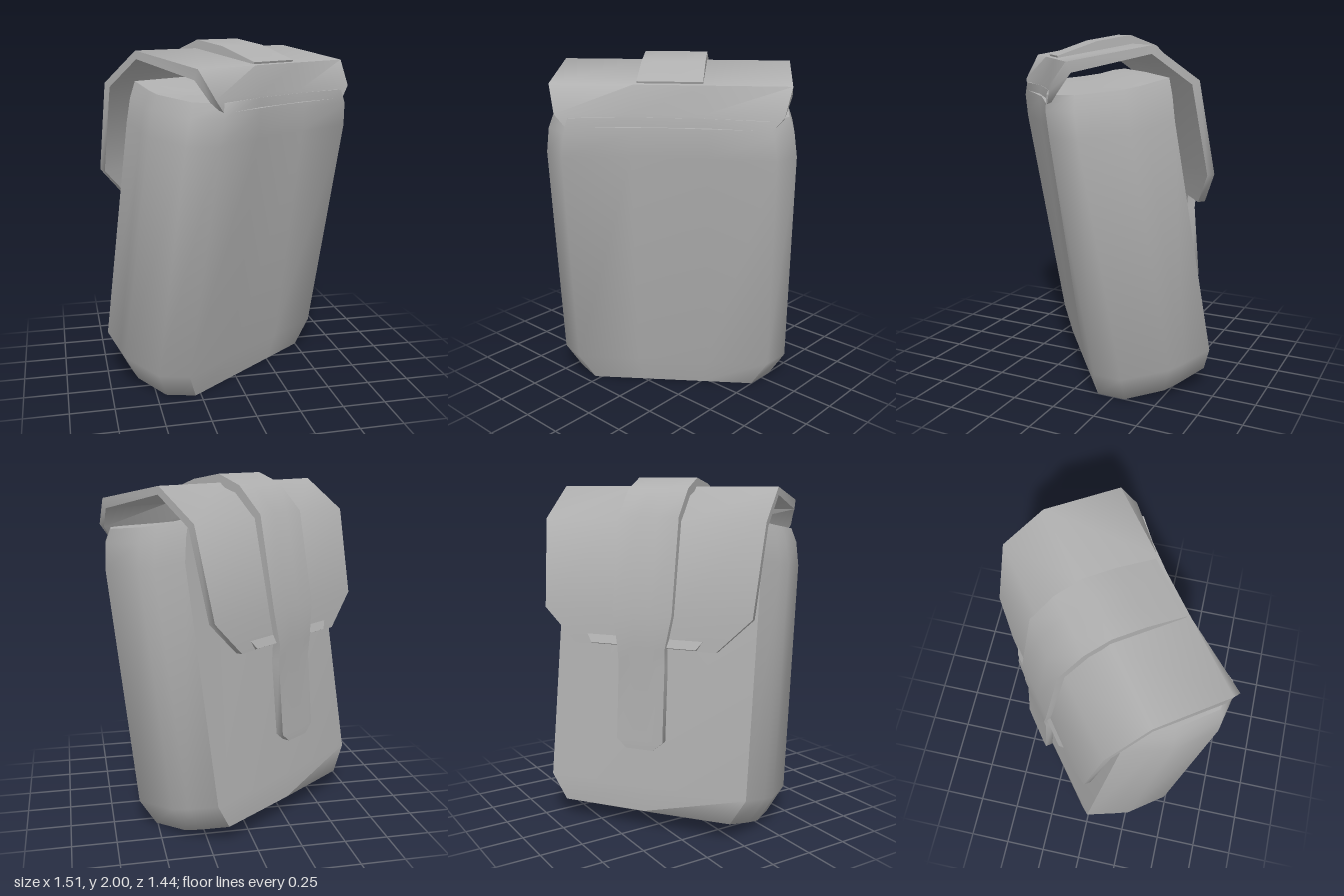
import * as THREE from 'three';
import { toCreasedNormals } from 'three/addons/utils/BufferGeometryUtils.js';

// Closed surface through rings of [x, y, z] points, capped at both ends.
function loft(rings, crease) {
  const n = rings[0].length;
  const pos = rings.flat(2);
  const index = [];
  for (let i = 0; i < rings.length - 1; i++) {
    for (let j = 0; j < n; j++) {
      const k = (j + 1) % n;
      const a = i * n + j, b = i * n + k, c = a + n, d = b + n;
      index.push(a, b, d, a, d, c);
    }
  }
  const cap = (row, flip) => {
    const centre = pos.length / 3;
    for (let e = 0; e < 3; e++) pos.push(rings[row].reduce((s, p) => s + p[e], 0) / n);
    for (let j = 0; j < n; j++) {
      const a = row * n + j, b = row * n + (j + 1) % n;
      index.push(centre, flip ? b : a, flip ? a : b);
    }
  };
  cap(0, true);
  cap(rings.length - 1, false);
  const g = new THREE.BufferGeometry();
  g.setAttribute('position', new THREE.Float32BufferAttribute(pos, 3));
  g.setIndex(index);
  return toCreasedNormals(g, crease);
}

// Bent band; rows are [z, y, half width, thickness, hollow] along its outer face.
function band(rows) {
  return loft(rows.map(([z, y, w, t, hollow = 0], i) => {
    const p = rows[Math.max(i - 1, 0)], q = rows[Math.min(i + 1, rows.length - 1)];
    const dz = q[0] - p[0], dy = q[1] - p[1], len = Math.hypot(dz, dy);
    const iz = z + (dy / len) * t, iy = y - (dz / len) * t;
    const across = [[w, 0], [0.3 * w, hollow], [-0.3 * w, hollow], [-w, 0]];
    return [
      ...across.map(([x, h]) => [x, y, z + h]),
      ...across.map(([x, h]) => [x, iy, iz + h]).reverse(),
    ];
  }), 1.0);
}

// Horizontal body section with cut corners and a slightly hollow back.
function bodyRing([w, back, front, yBack, yFront, hollow]) {
  const half = [
    [w - 0.09, front], [w - 0.03, front - 0.17], [w, front - 0.26],
    [w, back + 0.13], [w - 0.11, back], [0.3 * w, back + hollow],
  ];
  const outline = [[0, front + 0.01], ...half, ...half.map(([x, z]) => [-x, z]).reverse()];
  return outline.map(([x, z]) => {
    const t = Math.max(0, (z - back) / (front - back));
    return [x, yBack + (yFront - yBack) * t * t, z];
  });
}

export function createModel() {
  const model = new THREE.Group();
  model.name = 'pouch';
  const grey = new THREE.MeshStandardMaterial({ color: 0xb0b0b0 });
  grey.name = 'grey';
  const add = (name, geometry) => {
    const mesh = new THREE.Mesh(geometry, grey);
    mesh.name = name;
    model.add(mesh);
  };

  // Leaning bag: half width, back z, front z, back y, front y, back hollow
  add('body', loft([
    [0.45, -0.12, 0.36, 0.0, 0.07, 0],
    [0.6, -0.18, 0.44, 0.0, 0.11, 0],
    [0.69, -0.22, 0.44, 0.16, 0.26, 0],
    [0.69, -0.445, 0.215, 1.48, 1.56, 0.045],
    [0.67, -0.46, 0.205, 1.62, 1.69, 0.05],
    [0.64, -0.45, 0.195, 1.7, 1.78, 0.05],
    [0.45, -0.3, 0.08, 1.71, 1.78, 0],
  ].map(bodyRing), 1.1));

  // Lid growing out of the back and hanging over the front
  add('flap', band([
    [-0.45, 1.65, 0.55, 0.015, 0.05],
    [-0.447, 1.72, 0.61, 0.04, 0.05],
    [-0.365, 1.87, 0.65, 0.06],
    [0.08, 1.95, 0.65, 0.045],
    [0.33, 1.77, 0.65, 0.045],
    [0.435, 1.27, 0.615, 0.04],
    [0.45, 1.08, 0.42, 0.04],
  ]));

  // Raised lip along the lower edge of the lid
  add('flapLip', band([
    [0.437, 1.155, 0.36, 0.015],
    [0.465, 1.09, 0.31, 0.02],
  ]));

  // Closing strap with a narrower tail
  add('strap', band([
    [-0.345, 1.885, 0.178, 0.05],
    [-0.12, 1.965, 0.178, 0.06],
    [0.07, 1.998, 0.178, 0.06],
    [0.22, 1.94, 0.178, 0.05],
    [0.37, 1.79, 0.178, 0.05],
    [0.47, 1.27, 0.175, 0.05],
    [0.487, 1.08, 0.14, 0.05],
    [0.48, 0.98, 0.137, 0.05],
    [0.515, 0.56, 0.137, 0.045],
    [0.515, 0.51, 0.08, 0.045],
  ]));

  model.rotation.y = THREE.MathUtils.degToRad(217);
  return model;
}
